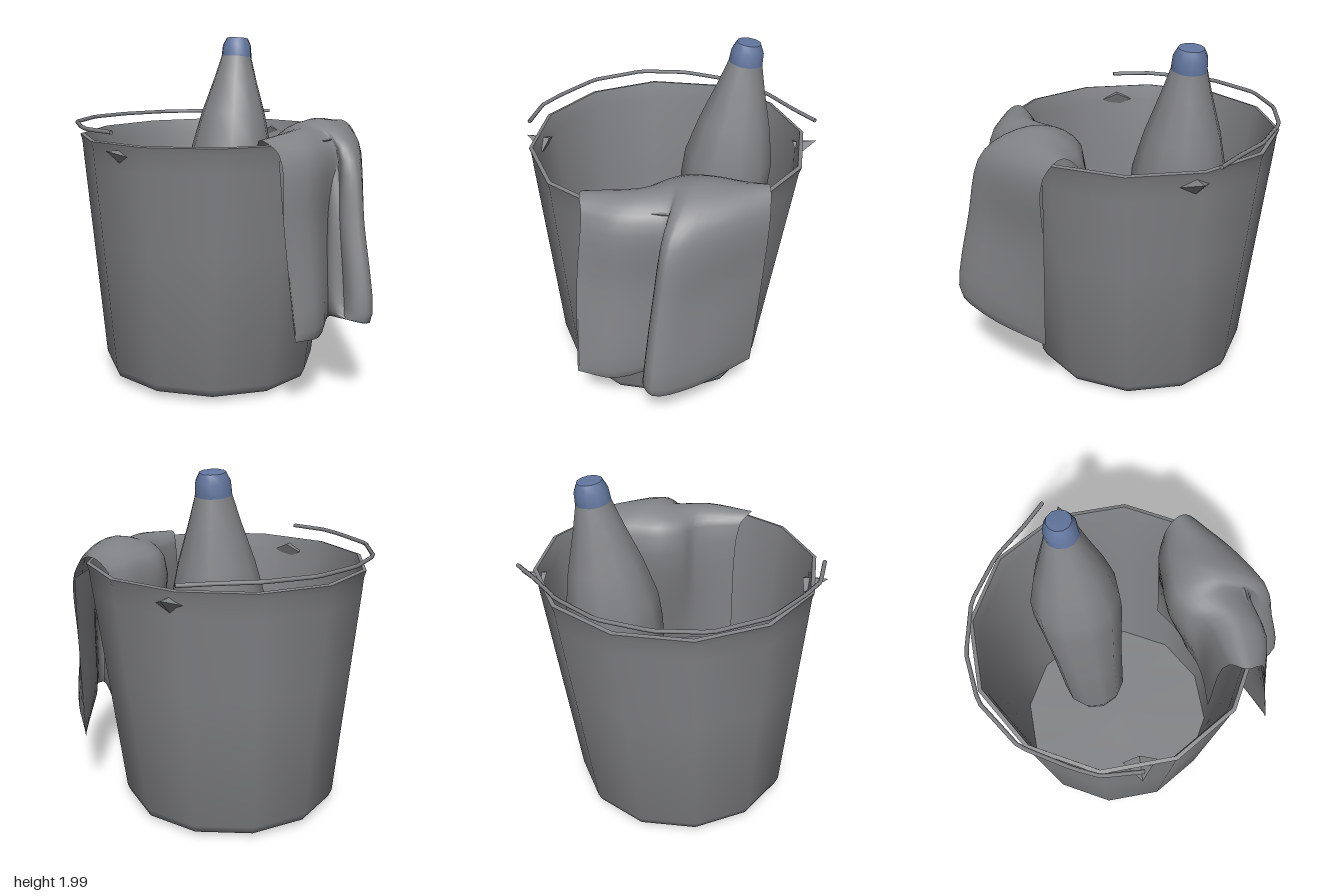
import * as THREE from 'three';
import { toCreasedNormals, mergeVertices } from 'three/addons/utils/BufferGeometryUtils.js';

const grey = new THREE.MeshStandardMaterial({ color: 0x828386, side: THREE.DoubleSide });
grey.name = 'grey';
const blue = new THREE.MeshStandardMaterial({ color: 0x62769f, side: THREE.DoubleSide });
blue.name = 'blue';

const CENTRE_Z = -0.11;
const bucketRadius = (y) => 0.625 + 0.105 * y;

function part(name, geometry, material = grey) {
  const mesh = new THREE.Mesh(geometry, material);
  mesh.name = name;
  return mesh;
}

function lathe(profile, sides, crease = 0.9) {
  const points = profile.map(([r, y]) => new THREE.Vector2(r, y));
  return toCreasedNormals(new THREE.LatheGeometry(points, sides), crease);
}

// Quad grid from equal-length rows of Vector3
function sheet(rows) {
  const w = rows[0].length;
  const index = [];
  for (let j = 0; j < rows.length - 1; j++) {
    for (let i = 0; i < w - 1; i++) {
      const a = j * w + i;
      index.push(a, a + 1, a + w, a + 1, a + w + 1, a + w);
    }
  }
  const geometry = new THREE.BufferGeometry().setFromPoints(rows.flat());
  geometry.setIndex(index);
  geometry.computeVertexNormals();
  return geometry;
}

// Tapered twelve-sided pail with a thin wall and a slightly uneven base
function makeBucket() {
  const geometry = lathe([
    [0, 0.015], [0.55, 0.015], [0.61, 0.035], [0.63, 0.08], [0.715, 0.85], [0.765, 1.3],
    [0.775, 1.4], [0.787, 1.44], [0.765, 1.445], [0.745, 1.36], [0.69, 0.85], [0.605, 0.06], [0, 0.05],
  ], 12);
  const p = geometry.attributes.position;
  for (let i = 0; i < p.count; i++) {
    const x = p.getX(i), y = p.getY(i);
    p.setX(i, x - 0.025 + 0.025 * y);
    p.setY(i, y - 0.02 * x * (1 - y / 1.45) + 0.008 * x * y);
  }
  const bucket = part('bucket', geometry);
  bucket.position.z = CENTRE_Z;
  return bucket;
}

// Leaning bottle with a coloured cap
function makeBottle() {
  const bottle = new THREE.Group();
  bottle.name = 'bottle';
  bottle.add(part('bottleBody', lathe([
    [0, 0], [0.18, 0], [0.2, 0.06], [0.225, 0.6], [0.262, 1.1], [0.258, 1.25],
    [0.205, 1.47], [0.135, 1.69], [0.095, 1.83],
  ], 11)));
  bottle.add(part('bottleCap', lathe([
    [0.095, 1.83], [0.09, 1.9], [0.068, 1.945], [0, 1.95],
  ], 11), blue));
  const base = new THREE.Vector3(0.17, 0.05, -0.28);
  const axis = new THREE.Vector3(0.365, 1.98, -0.4).sub(base).normalize();
  bottle.position.copy(base);
  bottle.quaternion.setFromUnitVectors(new THREE.Vector3(0, 1, 0), axis);
  return bottle;
}

// Thin bail lying flat around the back of the rim
function makeHandle() {
  const points = [
    [-0.76, 0.12], [-0.8, -0.1], [-0.77, -0.25], [-0.68, -0.53], [-0.46, -0.77], [-0.2, -0.87],
    [0.1, -0.885], [0.38, -0.79], [0.58, -0.66], [0.74, -0.57],
  ].map(([x, z]) => new THREE.Vector3(x, 1.5, z));
  const path = new THREE.CurvePath();
  for (let i = 1; i < points.length; i++) path.add(new THREE.LineCurve3(points[i - 1], points[i]));
  return part('handle', new THREE.TubeGeometry(path, 40, 0.012, 5));
}

// Small pointed lug where the handle meets the rim
function makeLug(name, x, y, z, angle) {
  const geometry = new THREE.ConeGeometry(0.09, 0.13, 4);
  geometry.scale(1, 1, 0.5);
  geometry.rotateY(Math.PI / 2);
  geometry.rotateZ(-1.2);
  const lug = part(name, toCreasedNormals(geometry, 0.5));
  lug.position.set(x, y, z);
  lug.rotation.y = angle;
  return lug;
}

// Folded towel: each row runs along the rim, rows run from inside over the rim to the hem and back up
function makeTowel() {
  const row = (ys, xz) => xz.map(([x, z], i) => new THREE.Vector3(x, Array.isArray(ys) ? ys[i] : ys, z));
  const innerHem = row(0.6, [[-0.1, 0.48], [0.1, 0.43], [0.2, 0.38], [0.28, 0.32], [0.36, 0.28], [0.45, 0.2], [0.52, 0.12]]);
  const inner = row(1.41, [[-0.12, 0.53], [0.11, 0.4], [0.16, 0.28], [0.26, 0.19], [0.42, 0.15], [0.54, 0.13], [0.65, 0.13]]);
  const crest = row([1.47, 1.5, 1.51, 1.53, 1.54, 1.52, 1.5],
    [[-0.16, 0.62], [0.12, 0.54], [0.27, 0.44], [0.33, 0.41], [0.4, 0.38], [0.55, 0.32], [0.72, 0.21]]);
  const top = row(1.4, [[-0.11, 0.71], [0.1, 0.71], [0.33, 0.62], [0.33, 0.66], [0.39, 0.69], [0.56, 0.55], [0.76, 0.3]]);
  const middle = row(1.0, [[-0.12, 0.78], [0.1, 0.75], [0.33, 0.61], [0.3, 0.74], [0.37, 0.81], [0.54, 0.61], [0.75, 0.31]]);
  const hem = row([0.45, 0.42, 0.44, 0.5, 0.48, 0.43, 0.4],
    [[-0.1, 0.86], [0.1, 0.8], [0.33, 0.6], [0.28, 0.83], [0.36, 0.89], [0.52, 0.7], [0.72, 0.33]]);

  // Rear layer pulled towards the bucket, meeting the front layer at both side edges
  const rear = (source, lift) => source.map((p, i) => {
    if (i === 0 || i === source.length - 1) return p.clone().add(new THREE.Vector3(0, lift, 0));
    const r = Math.hypot(p.x, p.z - CENTRE_Z);
    const k = Math.max(r * 0.91, bucketRadius(p.y) + 0.01) / r;
    return new THREE.Vector3(p.x * k, p.y + lift, CENTRE_Z + (p.z - CENTRE_Z) * k);
  });
  const rows = [innerHem, inner, crest, top, middle, hem, rear(hem, 0.02), rear(middle, 0), rear(top, -0.03)]
    .map((points) => new THREE.CatmullRomCurve3(points).getPoints(24));
  const columns = rows[0].map((_, i) => new THREE.CatmullRomCurve3(rows.map((r) => r[i])).getPoints(40));
  return part('towel', sheet(columns));
}

export function createModel() {
  const model = new THREE.Group();
  model.name = 'bucketWithBottleAndTowel';
  model.add(
    makeBucket(),
    makeBottle(),
    makeHandle(),
    makeLug('leftLug', 0.72, 1.39, -0.47, 0.45),
    makeLug('rightLug', -0.73, 1.38, 0.1, Math.PI + 0.2),
    makeTowel(),
  );
  return model;
}
